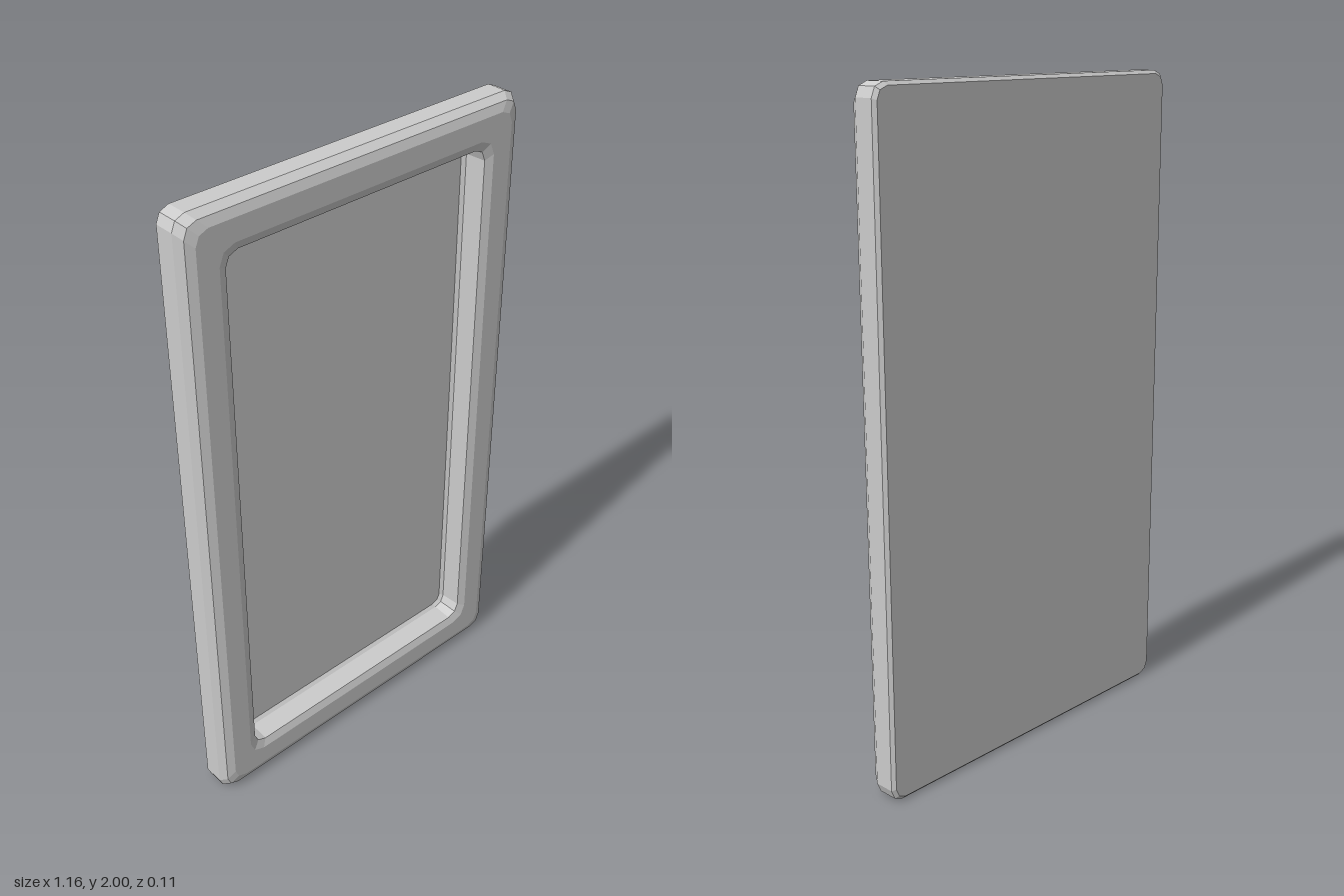
import * as THREE from 'three';

const W = 1.16, H = 2, SEG = 2;

// Rounded rectangle, counter-clockwise from the front, inset from the outer edge
function ring([inset, radius, z]) {
  const x = W / 2 - inset - radius, y = H / 2 - inset - radius;
  const corners = [[x, y], [-x, y], [-x, -y], [x, -y]];
  const points = [];
  corners.forEach(([cx, cy], q) => {
    for (let s = 0; s <= SEG; s++) {
      const a = (q + s / SEG) * Math.PI / 2;
      points.push(new THREE.Vector3(cx + radius * Math.cos(a), H / 2 + cy + radius * Math.sin(a), z));
    }
  });
  return points;
}

// Skin successive rings from back to front and into the recess; caps are fans
function skin(profile, capStart, capEnd) {
  const rings = profile.map(ring), n = rings[0].length;
  const positions = [];
  const tri = (...v) => v.forEach(p => positions.push(p.x, p.y, p.z));
  for (let j = 0; j + 1 < rings.length; j++) {
    for (let k = 0; k < n; k++) {
      const m = (k + 1) % n;
      tri(rings[j][k], rings[j][m], rings[j + 1][m]);
      tri(rings[j][k], rings[j + 1][m], rings[j + 1][k]);
    }
  }
  const first = rings[0], last = rings[rings.length - 1];
  for (let k = 1; k < n - 1; k++) {
    if (capStart) tri(first[0], first[k + 1], first[k]);
    if (capEnd) tri(last[0], last[k], last[k + 1]);
  }
  const geometry = new THREE.BufferGeometry();
  geometry.setAttribute('position', new THREE.Float32BufferAttribute(positions, 3));
  geometry.computeVertexNormals();
  return geometry;
}

export function createModel() {
  const group = new THREE.Group();
  const material = new THREE.MeshStandardMaterial({ color: 0xcccccc, flatShading: true });
  const add = (name, geometry) => {
    const mesh = new THREE.Mesh(geometry, material);
    mesh.name = name;
    group.add(mesh);
  };

  // Each row: inset, corner radius, z
  add('frame', skin([
    [0.01, 0.035, -0.053],  // back edge
    [0, 0.04, -0.043],      // side wall
    [0, 0.04, 0.018],
    [0.015, 0.04, 0.043],   // two-step front bevel
    [0.04, 0.04, 0.053],
    [0.105, 0.05, 0.053],   // flat face
    [0.13, 0.04, 0.043],    // inner bevel
    [0.135, 0.035, -0.022], // recess wall
    [0.145, 0.03, -0.032],  // fillet at the panel
  ], true, false));

  // Flat floor of the recess
  add('recessedPanel', skin([[0.145, 0.03, -0.032]], false, true));
  return group;
}
